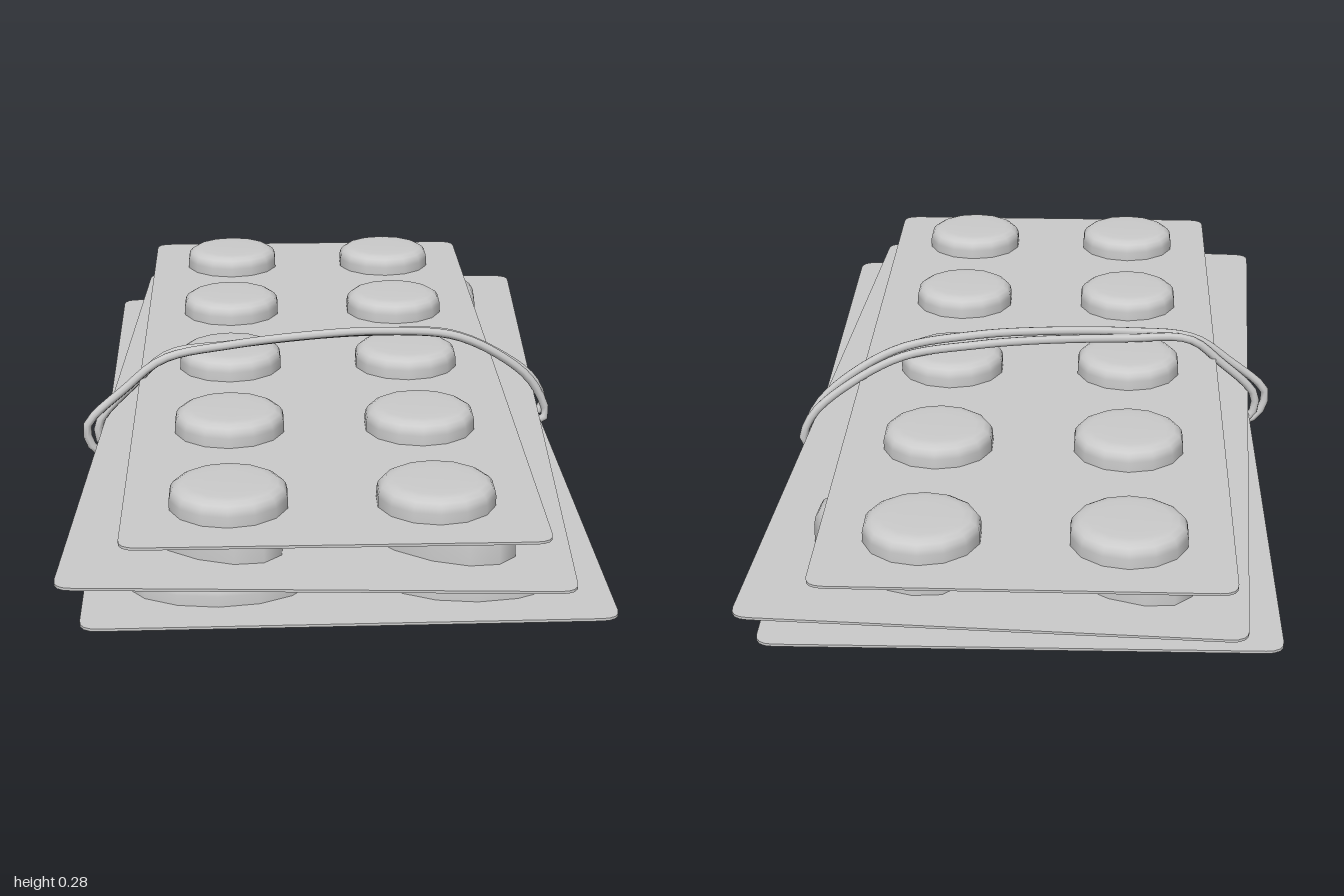
import * as THREE from 'three';

const material = new THREE.MeshStandardMaterial({ color: 0xcccccc });
const THICK = 0.005;

// Thin backing card with rounded corners, lying flat and centred on y = 0
function cardGeometry(w, d, r = 0.035) {
  const x = w / 2, y = d / 2, s = new THREE.Shape();
  s.moveTo(-x + r, -y);
  s.lineTo(x - r, -y).quadraticCurveTo(x, -y, x, -y + r);
  s.lineTo(x, y - r).quadraticCurveTo(x, y, x - r, y);
  s.lineTo(-x + r, y).quadraticCurveTo(-x, y, -x, y - r);
  s.lineTo(-x, -y + r).quadraticCurveTo(-x, -y, -x + r, -y);
  const geo = new THREE.ExtrudeGeometry(s, { depth: THICK, bevelEnabled: false, curveSegments: 4 });
  return geo.rotateX(-Math.PI / 2).translate(0, -THICK / 2, 0);
}

// Unit blister: upright wall rolling over into a nearly flat top
const blisterProfile = [
  [1, 0], [1, 0.45], [0.98, 0.66], [0.93, 0.82], [0.84, 0.94], [0.7, 0.985], [0.4, 1], [0, 1],
].map(([x, y]) => new THREE.Vector2(x, y));
const blisterGeometry = new THREE.LatheGeometry(blisterProfile, 14);

// One pack: card plus two columns of five blisters
function createPack({ name, w, d, pos, turn, column, pitch, size, pillTurn = 0 }) {
  const pack = new THREE.Group();
  pack.name = name;
  const card = new THREE.Mesh(cardGeometry(w, d), material);
  card.name = 'backingCard';
  pack.add(card);
  for (const side of [-1, 1]) {
    for (let row = -2; row <= 2; row++) {
      const pill = new THREE.Mesh(blisterGeometry, material);
      pill.name = 'blister';
      pill.position.set(side * column, 0, row * pitch);
      pill.scale.set(...size);
      pill.rotation.y = pillTurn;
      pack.add(pill);
    }
  }
  pack.position.set(...pos);
  pack.rotation.y = turn;
  return pack;
}

// Closed elastic strand; z follows x so that it crosses the stack at a slant
function createStrand(outline, zLeft, zRight) {
  const points = outline.map(([x, y]) =>
    new THREE.Vector3(x, y, THREE.MathUtils.lerp(zLeft, zRight, (x + 0.51) / 1.02)));
  const curve = new THREE.CatmullRomCurve3(points, true, 'centripetal');
  const strand = new THREE.Mesh(new THREE.TubeGeometry(curve, 90, 0.0095, 8, true), material);
  strand.name = 'bandStrand';
  return strand;
}

export function createModel() {
  const model = new THREE.Group();
  model.name = 'bundledBlisterPacks';

  model.add(
    createPack({
      name: 'bottomPack', w: 0.965, d: 1.94, pos: [0.003, 0.048, 0.027], turn: 0,
      column: 0.235, pitch: 0.39, size: [0.172, 0.05, 0.112],
    }),
    createPack({
      name: 'middlePack', w: 0.94, d: 1.94, pos: [0, 0.102, 0], turn: -0.062,
      column: 0.215, pitch: 0.36, size: [0.185, 0.084, 0.105], pillTurn: -Math.PI / 4 + 0.062,
    }),
    createPack({
      name: 'topPack', w: 0.775, d: 1.945, pos: [-0.012, 0.188, -0.005], turn: -0.01,
      column: 0.192, pitch: 0.39, size: [0.112, 0.049, 0.112],
    }),
  );

  // Rubber band wound twice around the stack
  const band = new THREE.Group();
  band.name = 'rubberBand';
  band.add(
    createStrand([
      [-0.49, 0.03], [-0.2, 0.011], [0.15, 0.01], [0.5, 0.035], [0.505, 0.05], [0.47, 0.125],
      [0.4, 0.188], [0.29, 0.245], [0.13, 0.266], [0, 0.268], [-0.2, 0.257], [-0.35, 0.234],
      [-0.43, 0.175], [-0.515, 0.095], [-0.512, 0.06],
    ], 0.1, -0.06),
    createStrand([
      [-0.475, 0.036], [-0.2, 0.034], [0.15, 0.034], [0.49, 0.037], [0.503, 0.055], [0.48, 0.115],
      [0.39, 0.188], [0.28, 0.24], [0.13, 0.255], [0, 0.258], [-0.2, 0.25], [-0.34, 0.238],
      [-0.41, 0.18], [-0.49, 0.095], [-0.49, 0.055],
    ], 0.085, -0.1),
  );
  model.add(band);
  return model;
}
